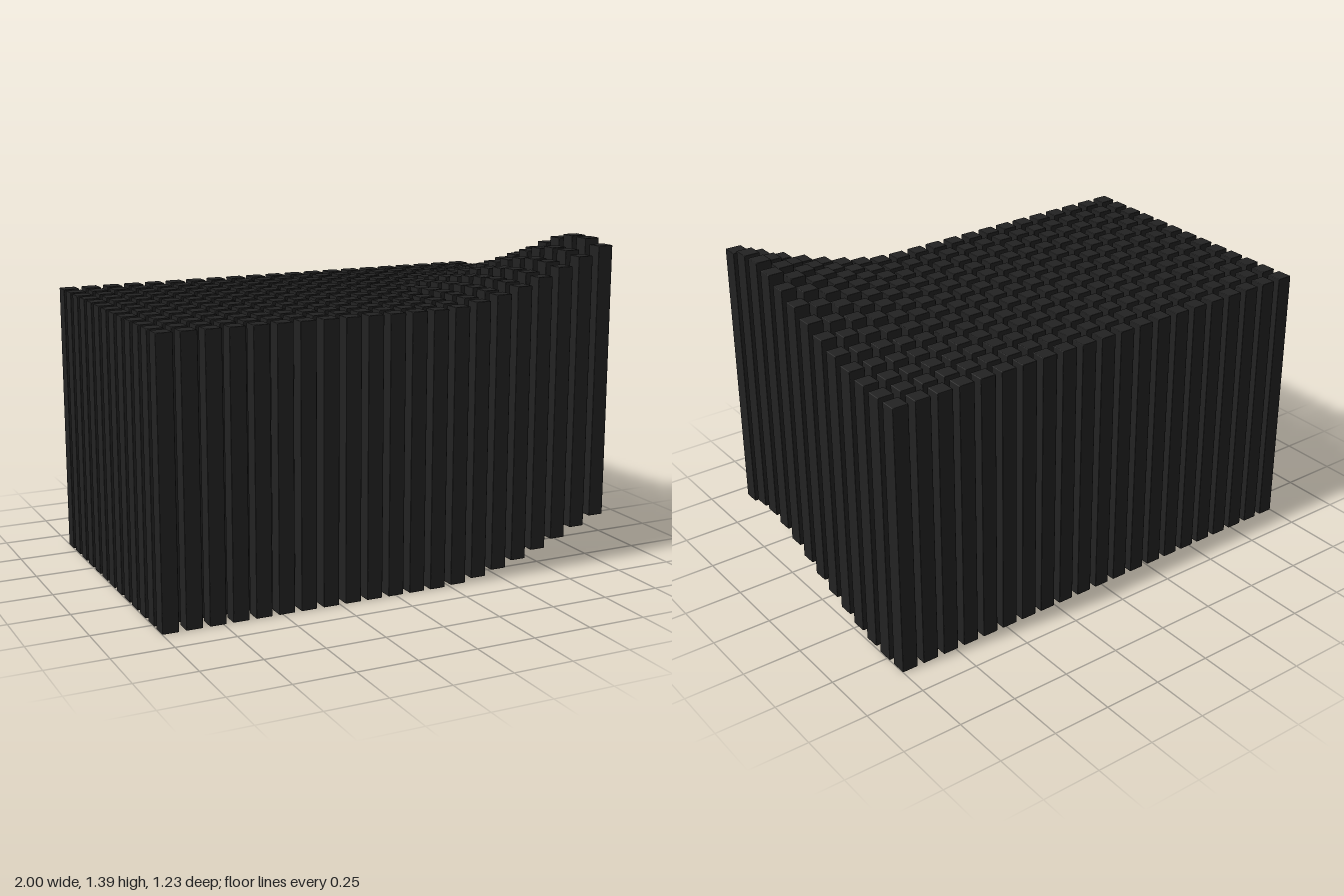
import * as THREE from 'three';
import { RoundedBoxGeometry } from 'three/addons/geometries/RoundedBoxGeometry.js';

const COLUMNS = 21, ROWS = 13;
const STEP = 0.0966, WIDTH = 0.068, HEIGHT = 1.158;

// Lift of a bar: a swell that fades out with distance from a point beyond the front left corner
function lift(x, z) {
  const r = Math.hypot(x - 1.166, z - 0.43);
  return 0.346 * Math.pow(Math.max(0, 1 - r / 0.95), 1.6);
}

export function createModel() {
  const model = new THREE.Group();
  model.name = 'barField';

  // Every bar shares one slightly bevelled box and one dark material
  const geometry = new RoundedBoxGeometry(WIDTH, HEIGHT, WIDTH, 1, 0.003);
  const material = new THREE.MeshStandardMaterial({ color: 0x222222 });

  for (let j = 0; j < ROWS; j++) {
    const row = new THREE.Group();
    row.name = `barRow${j + 1}`;
    const z = (j - (ROWS - 1) / 2) * STEP;
    for (let i = 0; i < COLUMNS; i++) {
      const x = (i - (COLUMNS - 1) / 2) * STEP;
      const bar = new THREE.Mesh(geometry, material);
      bar.name = `bar${i + 1}`;
      bar.position.set(x, HEIGHT / 2 + lift(x, z), z);
      row.add(bar);
    }
    model.add(row);
  }
  return model;
}
